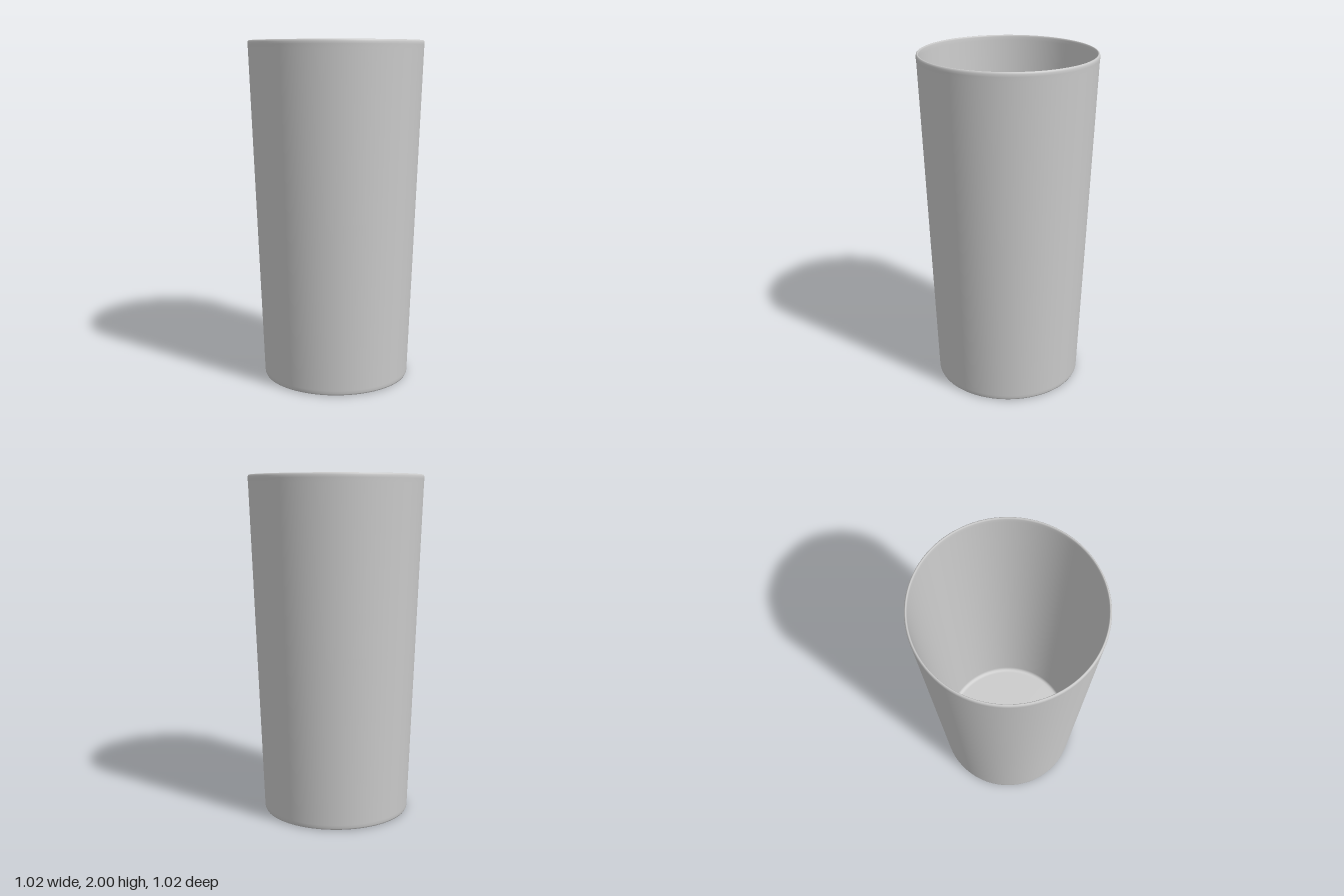
import * as THREE from 'three';

export function createModel() {
  const group = new THREE.Group();
  group.name = 'tumbler';

  // Closed wall profile: underside, outer wall, rounded rim, inner wall, floor
  const profile = [
    [0, 0], [0.41, 0], [0.424, 0], [0.431, 0.003], [0.435, 0.012], [0.436, 0.03],
    [0.473, 1], [0.509, 1.95], [0.511, 1.975], [0.511, 1.988], [0.508, 1.997], [0.503, 2],
    [0.499, 1.998], [0.497, 1.99], [0.496, 1.97],
    [0.457, 1], [0.419, 0.06], [0.417, 0.045], [0.412, 0.036], [0.404, 0.031], [0.39, 0.03], [0, 0.03],
  ].map(([r, y]) => new THREE.Vector2(r, y));

  const cup = new THREE.Mesh(
    new THREE.LatheGeometry(profile, 96),
    new THREE.MeshStandardMaterial({ color: 0xcccccc }),
  );
  cup.name = 'cup';
  group.add(cup);
  return group;
}
